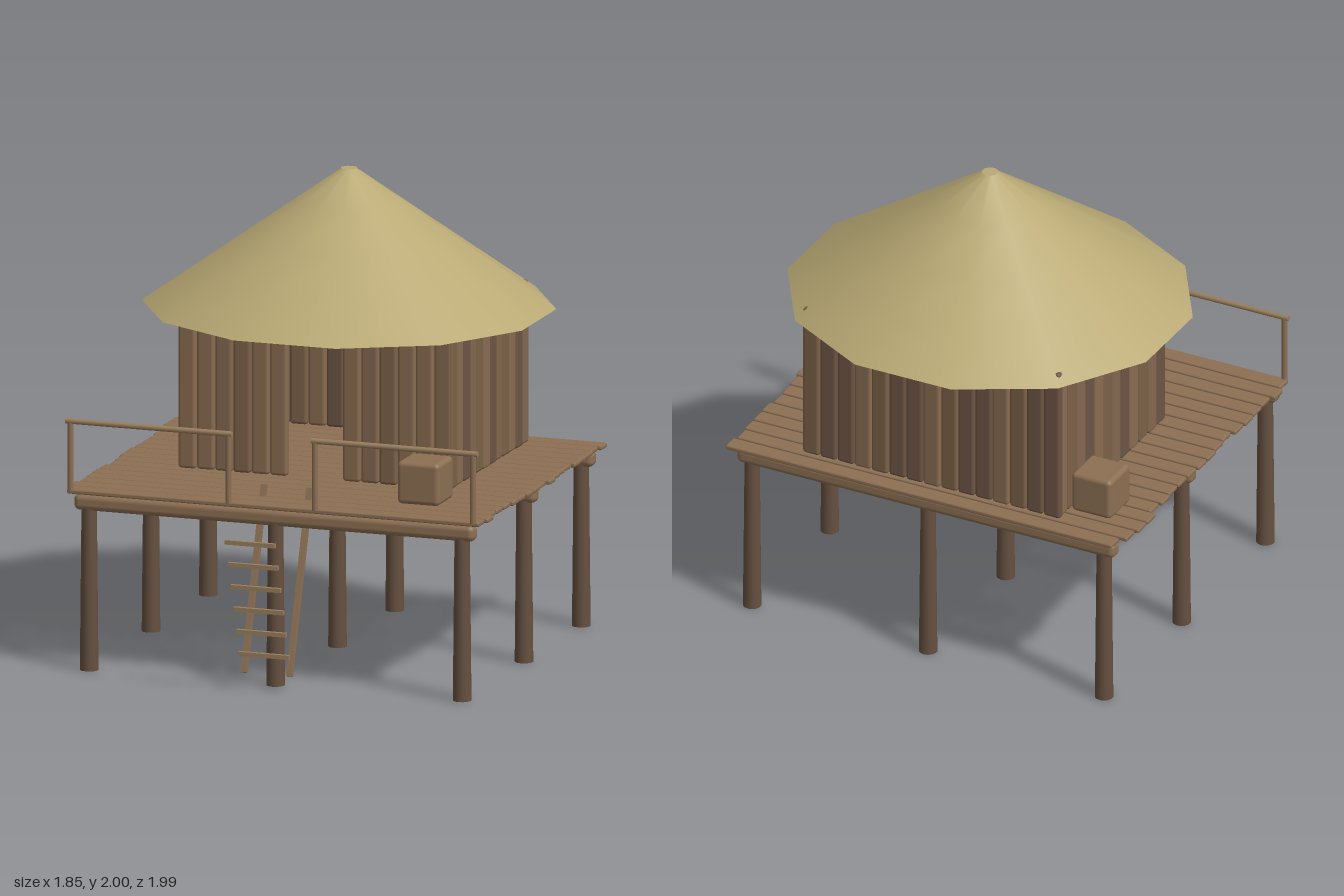
import * as THREE from 'three';
import { RoundedBoxGeometry } from 'three/addons/geometries/RoundedBoxGeometry.js';

const mat = (color, side = THREE.FrontSide) => new THREE.MeshStandardMaterial({ color, side });

export function createModel() {
  const root = new THREE.Group();
  const thatch = mat(0xb9a974, THREE.DoubleSide);
  const dark = mat(0x665040);
  const wood = mat(0x8d7054);
  const light = mat(0x9a7f5e);
  const wallShades = [0x6d5645, 0x8a6c51, 0x7d6249, 0x846850].map((c) => mat(c));

  let seed = 7;
  const jitter = (amount) => {
    seed = (seed * 16807) % 2147483647;
    return (seed / 2147483647 - 0.5) * 2 * amount;
  };

  const group = (name) => {
    const g = new THREE.Group();
    g.name = name;
    root.add(g);
    return g;
  };
  const add = (parent, name, geometry, material, x, y, z) => {
    const mesh = new THREE.Mesh(geometry, material);
    mesh.name = name;
    mesh.position.set(x, y, z);
    parent.add(mesh);
    return mesh;
  };

  // Twelve-sided thatched roof, a little wider than it is deep
  const roof = new THREE.CylinderGeometry(0.035, 1, 0.58, 12, 4, true);
  roof.rotateY(Math.PI / 12).scale(0.865, 1, 0.81);
  add(root, 'roof', roof, thatch, 0, 1.71, -0.21);
  const cap = new THREE.CircleGeometry(0.035, 12);
  cap.rotateX(-Math.PI / 2);
  add(root, 'roofCap', cap, thatch, 0, 2, -0.21);

  // Hut walls of upright planks, with a doorway in the middle of the front
  const walls = group('walls');
  const plank = new RoundedBoxGeometry(0.077, 0.69, 0.04, 2, 0.014);
  for (let i = 0; i < 15; i++) {
    const x = (i - 7) * 0.0803;
    const shade = (k) => wallShades[(i * 3 + k + (i % 4 === 1 ? 1 : 0)) % 4];
    add(walls, 'backPlank', plank, shade(0), x, 1.115, -0.72 + jitter(0.003));
    if (Math.abs(i - 7) > 1) add(walls, 'frontPlank', plank, shade(1), x, 1.115, 0.19 + jitter(0.003));
  }
  for (let i = 0; i < 12; i++) {
    const z = 0.17 - i * 0.0791;
    for (const s of [-1, 1]) {
      const p = add(walls, 'sidePlank', plank, wallShades[(i * 3 + s + 1) % 4], s * (0.582 + jitter(0.003)), 1.115, z);
      p.rotation.y = Math.PI / 2;
    }
  }

  // Deck boards of slightly uneven length
  const deck = group('deck');
  for (let i = 0; i < 19; i++) {
    const board = new RoundedBoxGeometry(1.82 + jitter(0.025), 0.02, 0.074, 1, 0.007);
    add(deck, 'deckBoard', board, wood, jitter(0.012), 0.76, 0.692 - i * 0.0826);
  }

  // Three beams, each on three tapered posts
  const supports = group('supports');
  const beam = new RoundedBoxGeometry(1.76, 0.07, 0.068, 3, 0.025);
  const post = new THREE.CylinderGeometry(0.032, 0.039, 0.7, 14, 4);
  for (const z of [0.68, -0.07, -0.765]) {
    add(supports, 'beam', beam, wood, 0, 0.713, z);
    for (const x of [-0.82, 0, 0.82]) add(supports, 'post', post, dark, x, 0.35, z);
  }

  // Front railing on both sides of the ladder
  const railing = group('railing');
  const railPost = new THREE.CylinderGeometry(0.012, 0.013, 0.29, 10);
  const rail = new THREE.CylinderGeometry(0.012, 0.012, 0.73, 10);
  rail.rotateZ(Math.PI / 2);
  for (const s of [-1, 1]) {
    add(railing, 'handrail', rail, light, s * 0.54, 1.06, 0.727);
    for (const x of [0.19, 0.885]) add(railing, 'railPost', railPost, wood, s * x, 0.91, 0.727);
  }

  // Leaning ladder with its rungs standing forward of the side rails
  const ladder = group('ladder');
  const ladderRail = new THREE.BoxGeometry(0.024, 0.785, 0.024);
  for (const s of [-1, 1]) {
    const r = add(ladder, 'ladderRail', ladderRail, wood, s * 0.1, 0.44, 0.665);
    r.rotation.x = -Math.atan2(0.245, 0.74);
  }
  const rung = new THREE.BoxGeometry(0.22, 0.018, 0.018);
  for (let i = 0; i < 6; i++) add(ladder, 'rung', rung, light, 0, 0.155 + i * 0.102, 0.82 + i * 0.0335);

  // Two storage crates on the deck
  const crate = new RoundedBoxGeometry(0.185, 0.18, 0.185, 3, 0.02);
  add(root, 'frontCrate', crate, wood, 0.565, 0.86, 0.425);
  add(root, 'sideCrate', crate, wood, -0.698, 0.86, -0.56);

  return root;
}
